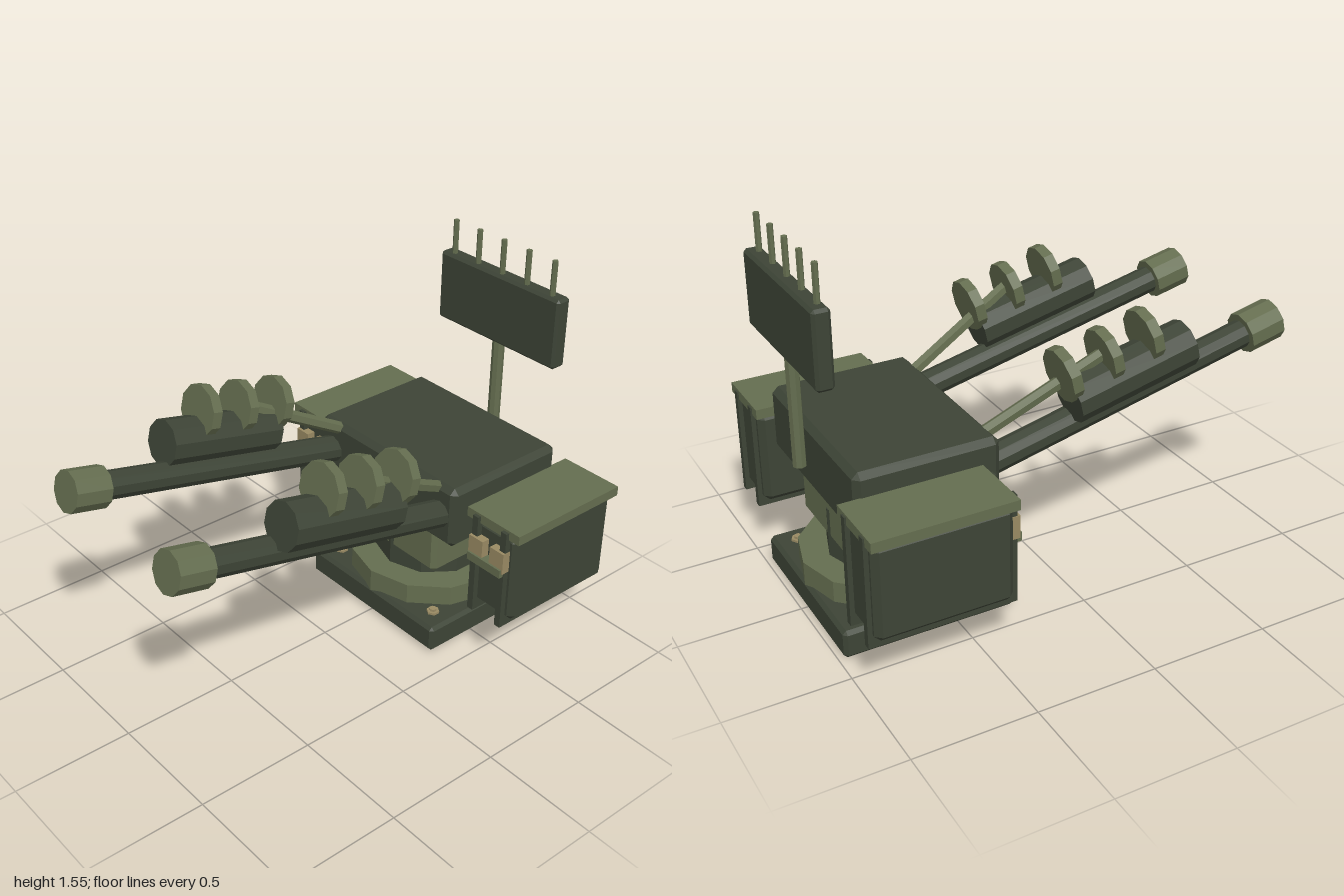
import * as THREE from 'three';
import { ConvexGeometry } from 'three/addons/geometries/ConvexGeometry.js';

export function createModel() {
  const model = new THREE.Group();
  model.name = 'twinGunTurret';

  const material = (name, color) => {
    const m = new THREE.MeshStandardMaterial({ color, flatShading: true });
    m.name = name;
    return m;
  };
  const dark = material('dark green', 0x3d4436);
  const olive = material('olive green', 0x646d4f);
  const tan = material('tan', 0x998a63);

  const add = (name, geometry, mat, parent = model) => {
    const mesh = new THREE.Mesh(geometry, mat);
    mesh.name = name;
    parent.add(mesh);
    return mesh;
  };

  // Box given by its limits on each axis
  const box = (name, mat, [x0, x1], [y0, y1], [z0, z1], parent) => {
    const mesh = add(name, new THREE.BoxGeometry(x1 - x0, y1 - y0, z1 - z0), mat, parent);
    mesh.position.set((x0 + x1) / 2, (y0 + y1) / 2, (z0 + z1) / 2);
    return mesh;
  };

  // Box with chamfered edges, given by its limits
  const chamferBox = (name, mat, [x0, x1], [y0, y1], [z0, z1], b, parent) => {
    const h = [(x1 - x0) / 2, (y1 - y0) / 2, (z1 - z0) / 2];
    const points = [];
    for (const sx of [-1, 1]) for (const sy of [-1, 1]) for (const sz of [-1, 1]) {
      for (let k = 0; k < 3; k++) {
        const inset = h.map((v, i) => (i === k ? v : v - b));
        points.push(new THREE.Vector3(sx * inset[0], sy * inset[1], sz * inset[2]));
      }
    }
    const mesh = add(name, new ConvexGeometry(points), mat, parent);
    mesh.position.set((x0 + x1) / 2, (y0 + y1) / 2, (z0 + z1) / 2);
    return mesh;
  };

  // Faceted cylinder running from point a to point b
  const rod = (name, mat, a, b, radius, sides, parent) => {
    const start = new THREE.Vector3(...a);
    const end = new THREE.Vector3(...b);
    const dir = end.clone().sub(start);
    const mesh = add(name, new THREE.CylinderGeometry(radius, radius, dir.length(), sides), mat, parent);
    mesh.position.copy(start).add(end).multiplyScalar(0.5);
    mesh.quaternion.setFromUnitVectors(new THREE.Vector3(0, 1, 0), dir.normalize());
    return mesh;
  };

  // Pedestal
  const cz = -0.617;
  chamferBox('basePlate', dark, [-0.39, 0.39], [0, 0.12], [cz - 0.361, cz + 0.361], 0.015);
  rod('turntableRing', olive, [0, 0.1, cz], [0, 0.21, cz], 0.36, 12);
  rod('neck', dark, [0, 0.15, cz], [0, 0.42, cz], 0.25, 10);
  chamferBox('pedestalBlock', olive, [-0.265, 0.265], [0.285, 0.52], [cz - 0.245, cz + 0.245], 0.02);
  for (const x of [-0.3, 0.3]) for (const dz of [-0.27, 0.27]) {
    rod('baseBolt', tan, [x, 0.115, cz + dz], [x, 0.13, cz + dz], 0.028, 6);
    rod('boltHead', tan, [x, 0.125, cz + dz], [x, 0.14, cz + dz], 0.016, 6);
  }

  // Main housing
  chamferBox('housing', dark, [-0.415, 0.415], [0.507, 0.785], [-0.912, -0.32], 0.025);

  // Antenna mast, panel and rods
  rod('mast', olive, [0, 0.64, -0.96], [0, 1.11, -0.96], 0.027, 8);
  chamferBox('antennaPanel', dark, [-0.34, 0.34], [1.095, 1.405], [-0.997, -0.925], 0.012);
  for (let i = -2; i <= 2; i++) {
    rod('antennaRod', olive, [i * 0.14, 1.39, -0.952], [i * 0.14, 1.555, -0.952], 0.0125, 6);
  }

  for (const s of [-1, 1]) {
    const side = s > 0 ? 'left' : 'right';
    const span = (a, b) => (s > 0 ? [a, b] : [-b, -a]);

    // Ammunition pod with lid, straps and front clips
    const pod = new THREE.Group();
    pod.name = side + 'Pod';
    model.add(pod);
    chamferBox('podBox', dark, span(0.42, 0.682), [0.252, 0.655], [-0.968, -0.41], 0.025, pod);
    box('podLid', olive, span(0.41, 0.7), [0.648, 0.69], [-0.98, -0.4], pod);
    for (const x of [0.475, 0.631]) {
      box('podStrap', dark, span(x - 0.015, x + 0.015), [0.223, 0.68], [-0.987, -0.385], pod);
    }
    for (const x of [0.495, 0.611]) {
      box('clip', tan, span(x - 0.038, x + 0.038), [0.495, 0.59], [-0.415, -0.373], pod);
    }
    box('clipTray', olive, span(0.461, 0.643), [0.477, 0.514], [-0.415, -0.364], pod);

    // Gun, all raised at the same slope
    const gun = new THREE.Group();
    gun.name = side + 'Gun';
    model.add(gun);
    const slope = 0.232;
    const along = (x, y, z, length) => [x, y + length * slope, z + length];
    const gx = 0.333 * s;
    const cx = 0.379 * s;
    const tip = [gx, 0.952, 0.98];
    rod('barrel', dark, along(...tip, -1.4), along(...tip, -0.05), 0.058, 10, gun);
    rod('muzzle', olive, along(...tip, -0.152), tip, 0.086, 10, gun);
    const front = [cx, 0.968, 0.516];
    rod('recoilCylinder', dark, along(...front, -0.525), front, 0.098, 10, gun);
    for (let i = 0; i < 3; i++) {
      const c = [cx, 1.045 - i * 0.0415, 0.322 - i * 0.179];
      rod('supportDisc', olive, along(...c, -0.021), along(...c, 0.021), 0.111, 10, gun);
    }
    rod('brace', olive, [0.3 * s, 0.745, -0.36], [cx, 1.005, 0.13], 0.027, 6, gun);
  }

  return model;
}
